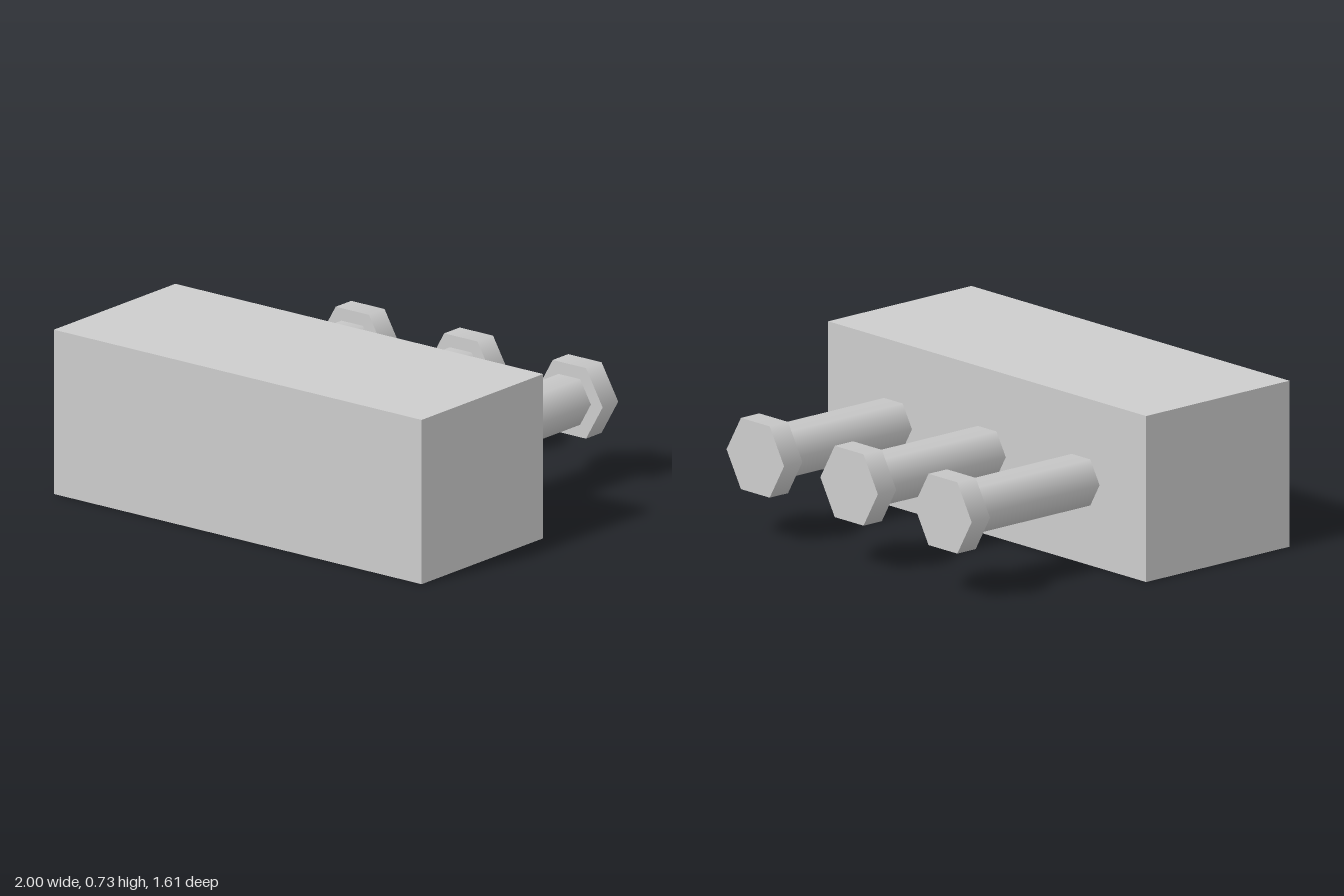
import * as THREE from 'three';

export function createModel() {
  const model = new THREE.Group();
  const grey = new THREE.MeshStandardMaterial({ color: 0xcccccc });
  grey.name = 'light grey';

  const height = 0.73;
  const blockBack = -0.015, shaftEnd = -0.7, back = -0.805, front = 0.805;

  // Solid block at the front
  const block = new THREE.Mesh(new THREE.BoxGeometry(2, height, front - blockBack), grey);
  block.name = 'block';
  block.position.set(0, height / 2, (front + blockBack) / 2);
  model.add(block);

  // Smooth-shaded hexagonal bar along z, with corners to the left and right
  function hexBar(name, radius, z0, z1) {
    const geometry = new THREE.CylinderGeometry(radius, radius, z1 - z0, 6, 1, false, Math.PI / 2);
    geometry.rotateX(Math.PI / 2);
    const mesh = new THREE.Mesh(geometry, grey);
    mesh.name = name;
    mesh.position.z = (z0 + z1) / 2;
    return mesh;
  }

  // Three bolts sticking out of the back
  for (const x of [-0.59, 0, 0.59]) {
    const bolt = new THREE.Group();
    bolt.name = 'bolt';
    bolt.add(hexBar('boltShaft', 0.117, shaftEnd, blockBack));
    bolt.add(hexBar('boltHead', 0.181, back, shaftEnd));
    bolt.position.set(x, height / 2, 0);
    model.add(bolt);
  }
  return model;
}
